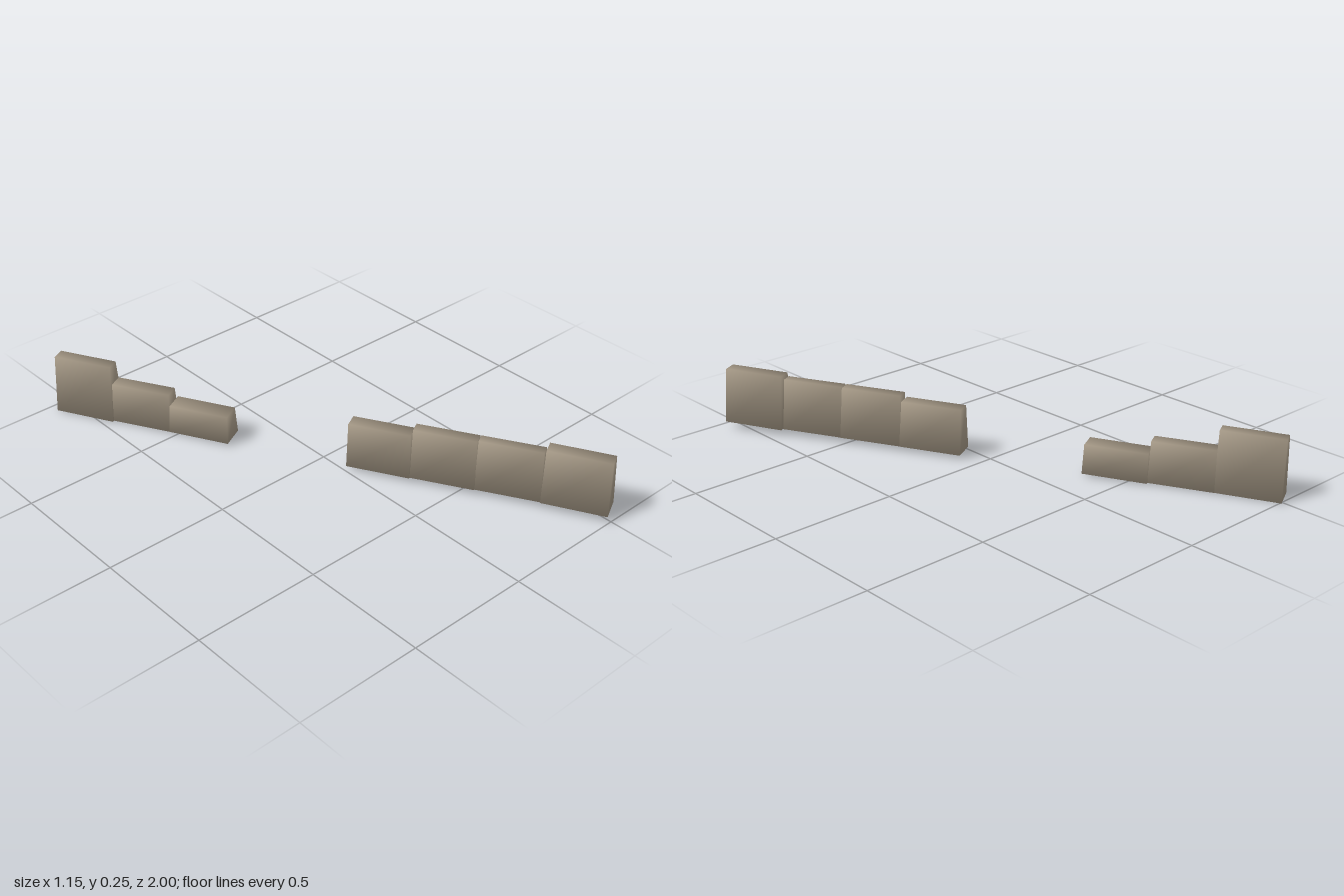
import * as THREE from 'three';

// One stone: a box narrowing upward, shaded softly across its corners.
function stoneGeometry(width, height, length) {
  const geometry = new THREE.BoxGeometry(width, height, length);
  const pos = geometry.attributes.position;
  const normal = geometry.attributes.normal;
  const inset = height * 0.1;
  const v = new THREE.Vector3();
  for (let i = 0; i < pos.count; i++) {
    v.fromBufferAttribute(pos, i);
    const sx = Math.sign(v.x), sy = Math.sign(v.y), sz = Math.sign(v.z);
    if (sy > 0) pos.setXYZ(i, v.x - sx * inset, v.y, v.z - sz * 0.003);
    // all faces meeting at a corner share one normal
    v.set(sx, sy, sz).normalize();
    normal.setXYZ(i, v.x, v.y, v.z);
  }
  geometry.translate(0, height / 2, 0);
  return geometry;
}

export function createModel() {
  const model = new THREE.Group();
  model.name = 'brokenWall';
  const stone = new THREE.MeshStandardMaterial({ color: 0xa09482 });
  stone.name = 'warm grey stone';

  // x, z, width, height, heading in degrees
  const sections = {
    frontWall: [
      [0.108, 0.207, 0.095, 0.18, 28],
      [0.228, 0.426, 0.088, 0.202, 28.5],
      [0.347, 0.643, 0.082, 0.204, 28.5],
      [0.468, 0.863, 0.1, 0.218, 26.8],
    ],
    backWall: [
      [-0.478, -0.872, 0.098, 0.238, 27],
      [-0.36, -0.656, 0.09, 0.16, 28],
      [-0.241, -0.438, 0.1, 0.114, 27.2],
    ],
  };

  for (const [name, stones] of Object.entries(sections)) {
    const wall = new THREE.Group();
    wall.name = name;
    stones.forEach(([x, z, width, height, heading], i) => {
      const mesh = new THREE.Mesh(stoneGeometry(width, height, 0.25), stone);
      mesh.name = `${name}Stone${i + 1}`;
      // the footing climbs gently toward the front
      mesh.position.set(x, 0.015 + 0.015 * z, z);
      mesh.rotation.set(-0.0135, THREE.MathUtils.degToRad(heading), 0, 'YXZ');
      wall.add(mesh);
    });
    model.add(wall);
  }
  return model;
}
